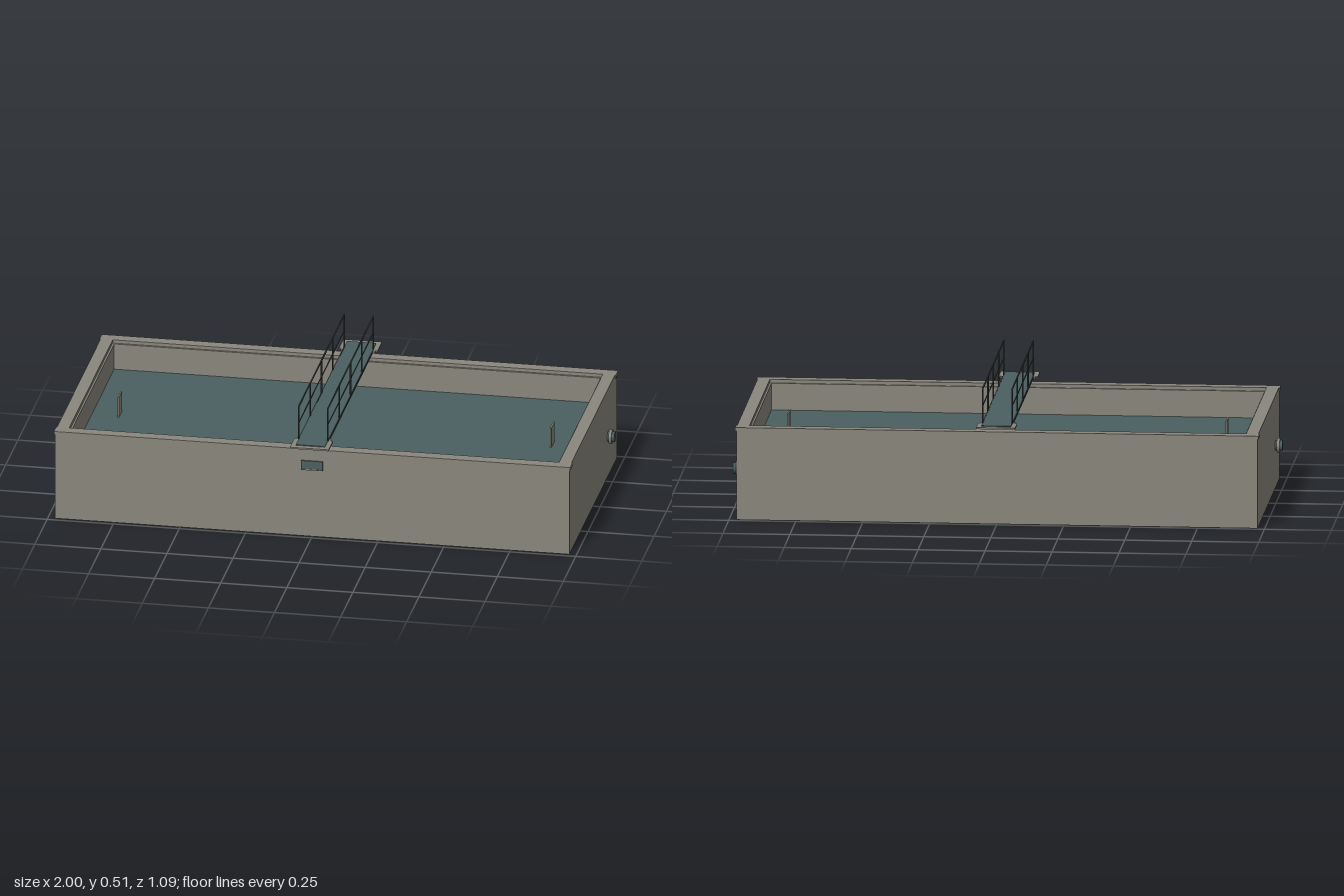
import * as THREE from 'three';

const mat = (name, color, side = THREE.FrontSide) => {
  const m = new THREE.MeshStandardMaterial({ color, side });
  m.name = name;
  return m;
};

export function createModel() {
  const concrete = mat('concrete', 0x8a877d);
  const water = mat('water teal', 0x4b6061);
  const steel = mat('dark steel', 0x3c4241);
  const model = new THREE.Group();
  model.name = 'settlingTank';

  const add = (name, geometry, material, x = 0, y = 0, z = 0, parent = model) => {
    const mesh = new THREE.Mesh(geometry, material);
    mesh.name = name;
    mesh.position.set(x, y, z);
    parent.add(mesh);
    return mesh;
  };
  const box = (name, w, h, d, material, x, y, z, parent) =>
    add(name, new THREE.BoxGeometry(w, h, d), material, x, y, z, parent);

  // Rectangular frame lying flat: outer and inner half sizes, height
  const frame = (ox, oz, ix, iz, h) => {
    const rect = (path, x, z) =>
      path.moveTo(-x, -z).lineTo(x, -z).lineTo(x, z).lineTo(-x, z).closePath();
    const shape = rect(new THREE.Shape(), ox, oz);
    shape.holes.push(rect(new THREE.Path(), ix, iz));
    return new THREE.ExtrudeGeometry(shape, { depth: h, bevelEnabled: false }).rotateX(-Math.PI / 2);
  };

  // Basin
  add('walls', frame(0.973, 0.484, 0.92, 0.434, 0.337), concrete);
  box('floor', 1.84, 0.04, 0.868, concrete, 0, 0.02, 0);
  box('waterSurface', 1.84, 0.006, 0.868, water, 0, 0.233, 0);

  // Coping along the wall tops
  for (const s of [-1, 1]) {
    box('longCoping', 1.954, 0.013, 0.046, concrete, 0, 0.3435, s * 0.465);
    box('endCoping', 0.046, 0.013, 0.884, concrete, s * 0.95, 0.3435, 0);
    // Baffle in front of each pipe end
    box('baffle', 0.006, 0.085, 0.062, concrete, s * 0.818, 0.273, 0);
  }

  // Pipe stubs with flanges, on opposite corners
  for (const s of [-1, 1]) {
    const pipe = new THREE.Group();
    pipe.name = s > 0 ? 'outletPipe' : 'inletPipe';
    pipe.position.set(0, 0.16, -s * 0.302);
    model.add(pipe);
    const ring = (name, r, x0, x1, material) =>
      add(name, new THREE.CylinderGeometry(r, r, x1 - x0, 24).rotateZ(Math.PI / 2),
        material, s * (x0 + x1) / 2, 0, 0, pipe);
    ring('stub', 0.02, 0.905, 1.0, water);
    ring('flange', 0.027, 0.979, 0.99, concrete);
  }

  // Plate on the front wall
  box('frontPlate', 0.082, 0.037, 0.005, water, 0, 0.286, 0.4895);
  box('plateNotch', 0.066, 0.005, 0.002, concrete, 0, 0.27, 0.4925);

  // Walkway deck with edge strips and landings
  const bridge = new THREE.Group();
  bridge.name = 'walkway';
  model.add(bridge);
  box('deck', 0.11, 0.01, 1.04, water, 0, 0.374, 0, bridge);
  for (const s of [-1, 1]) {
    box('landing', 0.146, 0.006, 0.09, concrete, 0, 0.373, s * 0.4975, bridge);
    box('landingLip', 0.13, 0.006, 0.015, concrete, 0, 0.373, s * 0.445, bridge);
    box('edgeStrip', 0.004, 0.011, 0.92, steel, s * 0.055, 0.374, 0, bridge);
  }

  // Handrails
  for (const s of [-1, 1]) {
    const rail = new THREE.Group();
    rail.name = s > 0 ? 'leftHandrail' : 'rightHandrail';
    rail.position.x = s * 0.055;
    bridge.add(rail);
    for (let i = -2; i <= 2; i++)
      add('post', new THREE.CylinderGeometry(0.003, 0.003, 0.13, 8), steel, 0, 0.443, i * 0.2305, rail);
    for (const [name, r, y] of [['topRail', 0.0032, 0.508], ['midRail', 0.0024, 0.443]])
      add(name, new THREE.CylinderGeometry(r, r, 0.928, 8).rotateX(Math.PI / 2), steel, 0, y, 0, rail);
  }
  return model;
}
